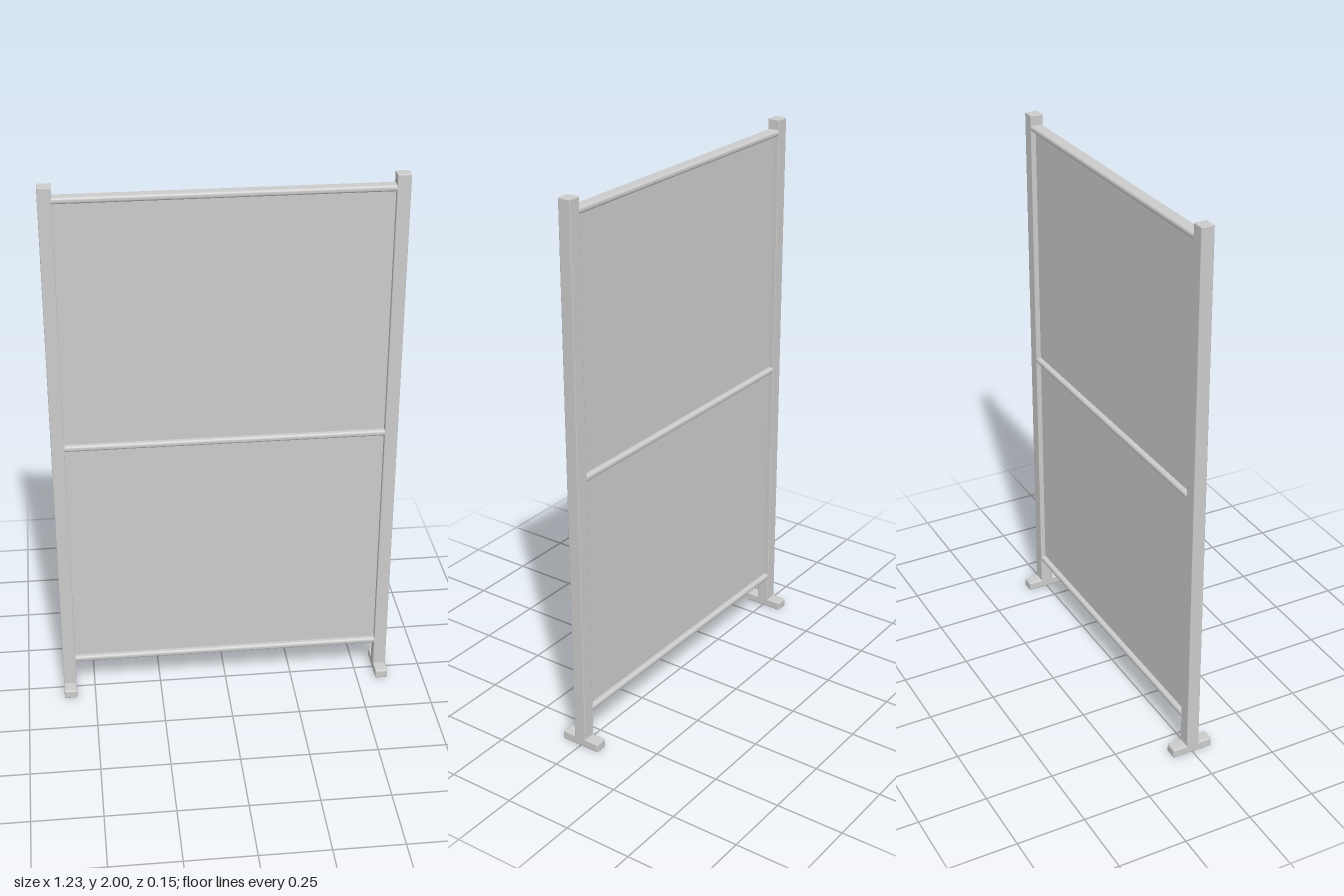
import * as THREE from 'three';
import { RoundedBoxGeometry } from 'three/addons/geometries/RoundedBoxGeometry.js';

const POST_X = 0.593;
const POST_SIZE = 0.047;
const RAIL_HEIGHTS = [0.138, 1.036, 1.952];

export function createModel() {
  const group = new THREE.Group();
  const material = new THREE.MeshStandardMaterial({ color: 0xcccccc });

  const add = (name, geometry, x, y, z = 0) => {
    const mesh = new THREE.Mesh(geometry, material);
    mesh.name = name;
    mesh.position.set(x, y, z);
    group.add(mesh);
  };

  // Upright posts standing on short cross feet
  for (const [side, s] of [['left', 1], ['right', -1]]) {
    add(`${side}Post`, new RoundedBoxGeometry(POST_SIZE, 1.98, POST_SIZE, 2, 0.003), s * POST_X, 1.01);
    add(`${side}Foot`, new RoundedBoxGeometry(POST_SIZE, 0.034, 0.154, 3, 0.006), s * POST_X, 0.017, -0.001);
  }

  // Rounded rails, their ends set into the posts
  const railGeometry = new RoundedBoxGeometry(2 * POST_X, 0.022, POST_SIZE - 0.001, 4, 0.009);
  ['bottomRail', 'middleRail', 'topRail'].forEach((name, i) => add(name, railGeometry, 0, RAIL_HEIGHTS[i]));

  // Thin panels filling the two bays
  ['lowerPanel', 'upperPanel'].forEach((name, i) => {
    const low = RAIL_HEIGHTS[i];
    const high = RAIL_HEIGHTS[i + 1];
    add(name, new THREE.BoxGeometry(2 * POST_X - POST_SIZE + 0.01, high - low, 0.01), 0, (low + high) / 2);
  });

  return group;
}
